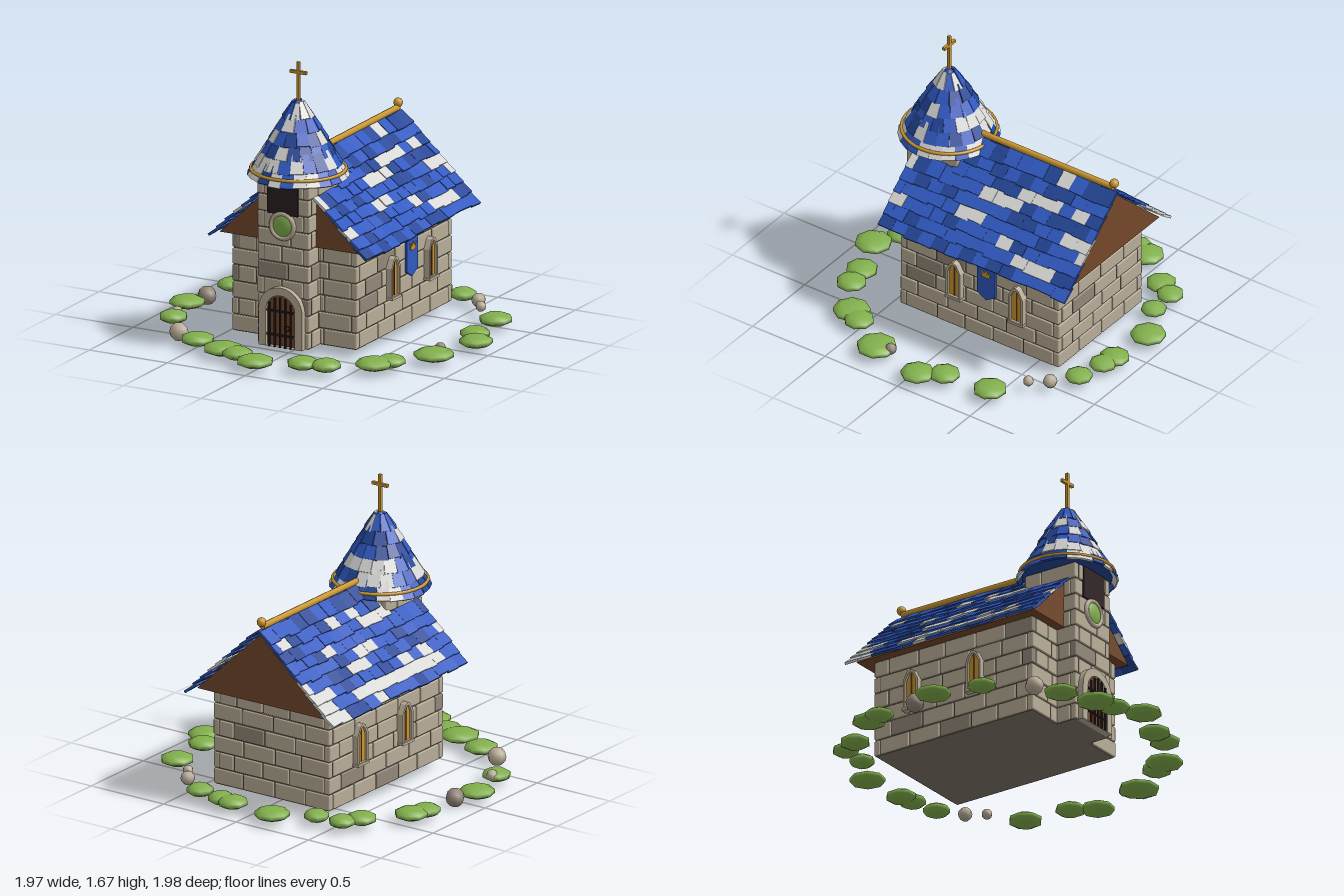
import * as THREE from 'three';
import { mergeGeometries } from 'three/addons/utils/BufferGeometryUtils.js';
import { RoundedBoxGeometry } from 'three/addons/geometries/RoundedBoxGeometry.js';

const mat = (name, color) => Object.assign(new THREE.MeshStandardMaterial({ color }), { name });
const M = {
  stone: mat('stone', 0xb9ad98), darkStone: mat('dark stone', 0x93887a), mortar: mat('mortar', 0x7f7567),
  blue: mat('blue tile', 0x2f58c0), navy: mat('navy tile', 0x234596), white: mat('white tile', 0xd6d6d4),
  gold: mat('gold', 0xc9962f), wood: mat('wood', 0x74482a), dark: mat('dark', 0x2c2022), leaf: mat('leaf', 0x82b04c),
};

let seed = 7;
const rnd = () => (seed = (seed * 16807) % 2147483647) / 2147483647;
const jitter = (a) => (rnd() - 0.5) * 2 * a;

function mesh(parent, name, geo, material, x = 0, y = 0, z = 0) {
  const m = new THREE.Mesh(geo, material);
  m.name = name;
  m.position.set(x, y, z);
  parent.add(m);
  return m;
}
const box = (w, h, d) => new THREE.BoxGeometry(w, h, d);

// Collects many small pieces and merges them into one mesh per material
function batch(parent, name) {
  const sets = new Map();
  return {
    add(geo, material, matrix) {
      const g = geo.index ? geo.toNonIndexed() : geo;
      g.applyMatrix4(matrix);
      if (!sets.has(material)) sets.set(material, []);
      sets.get(material).push(g);
    },
    finish() {
      for (const [m, list] of sets) mesh(parent, `${name} ${m.name}`, mergeGeometries(list), m);
    },
  };
}

// Rectangular masonry: mortar core with staggered stone courses on four faces
function masonry(parent, name, w, d, y0, rows, rowH, zc, stoneLen) {
  const depth = 0.04, gap = 0.006;
  mesh(parent, name + 'Core', box(w - 0.02, rows * rowH, d - 0.02), M.mortar, 0, y0 + rows * rowH / 2, zc);
  const stones = batch(parent, name);
  for (let r = 0; r < rows; r++) for (let f = 0; f < 4; f++) {
    const inset = (r + f) % 2 ? depth : 0;
    const len = (f % 2 ? d : w) - 2 * inset, half = (f % 2 ? w : d) / 2;
    const cuts = [-len / 2];
    let p = -len / 2 + stoneLen * (r % 2 ? 0.55 : 1) * (1 + jitter(0.1));
    while (p < len / 2 - stoneLen * 0.35) {
      cuts.push(p);
      p += stoneLen * (1 + jitter(0.1));
    }
    cuts.push(len / 2);
    const turn = new THREE.Matrix4().makeRotationY(f * Math.PI / 2).setPosition(0, 0, zc);
    for (let i = 0; i + 1 < cuts.length; i++) {
      const geo = new RoundedBoxGeometry(cuts[i + 1] - cuts[i] - gap, rowH - gap, depth, 1, 0.007);
      const at = new THREE.Matrix4().makeTranslation(
        (cuts[i] + cuts[i + 1]) / 2, y0 + (r + 0.5) * rowH, half - depth / 2 + jitter(0.002));
      stones.add(geo, rnd() < 0.07 ? M.darkStone : M.stone, turn.clone().multiply(at));
    }
  }
  stones.finish();
}

// White tiles tend to sit in patches beside each other
let lastWhite = false;
function tileColor(whiteStart) {
  lastWhite = rnd() < (lastWhite ? 0.5 : whiteStart);
  return lastWhite ? M.white : rnd() < 0.3 ? M.navy : M.blue;
}

function archShape(half, bottom, spring) {
  const s = new THREE.Shape();
  s.moveTo(-half, bottom);
  s.lineTo(half, bottom);
  s.lineTo(half, spring);
  s.absarc(0, spring, half, 0, Math.PI, false);
  s.closePath();
  return s;
}
const polygon = (pts) => new THREE.Shape(pts.map(([x, y]) => new THREE.Vector2(x, y)));
const extrude = (shape, depth) => new THREE.ExtrudeGeometry(shape, { depth, bevelEnabled: false, curveSegments: 12 });
const lancet = (h, b, s, t) => polygon([[-h, b], [h, b], [h, s], [h * 0.45, t - 0.012], [0, t], [-h * 0.45, t - 0.012], [-h, s]]);

function buildRoof(parent) {
  // Timber gable prism
  mesh(parent, 'gable', extrude(polygon([[-0.455, 0.632], [0.455, 0.632], [0, 1.06]]), 1.22), M.wood, 0, 0, -0.755);
  // Overlapping tiles on both slopes, left open around the tower
  const tiles = batch(parent, 'roofTiles');
  const rows = 9, cols = 14, z0 = -0.795, len = 1.29, pitch = 0.0735;
  for (const s of [-1, 1]) {
    const u = new THREE.Vector3(-s * 0.73, 0.685, 0), n = new THREE.Vector3(s * 0.685, 0.73, 0);
    const a = new THREE.Vector3(0, 0, -s);
    for (let r = 0; r < rows; r++) {
      const shift = r % 2 ? 0.5 : 0, w = len / cols;
      for (let c = 0; c < cols + shift * 2; c++) {
        const lo = Math.max(z0, z0 + (c - shift) * w), hi = Math.min(z0 + len, z0 + (c + 1 - shift) * w);
        const t = 0.047 + r * pitch + jitter(0.007), z = (lo + hi) / 2;
        if (t * 0.73 < 0.17 && z > 0.2) continue;
        const pos = new THREE.Vector3(0, 1.07, z).addScaledVector(u, -t).addScaledVector(n, 0.012 + jitter(0.002));
        const m = new THREE.Matrix4().makeBasis(a, u, n).setPosition(pos);
        m.multiply(new THREE.Matrix4().makeRotationFromEuler(new THREE.Euler(-0.1, jitter(0.04), jitter(0.05))));
        tiles.add(box(hi - lo + 0.003, 0.102, 0.015), tileColor(0.13), m);
      }
    }
  }
  tiles.finish();
  // Gilded ridge
  mesh(parent, 'ridgeBar', new THREE.CylinderGeometry(0.018, 0.018, 0.93, 10), M.gold, 0, 1.1, -0.3).rotation.x = Math.PI / 2;
  mesh(parent, 'ridgeBall', new THREE.SphereGeometry(0.027, 14, 10), M.gold, 0, 1.128, -0.77);
}

function buildSpire(parent) {
  const g = new THREE.Group();
  g.name = 'spire';
  g.position.z = 0.37;
  parent.add(g);
  mesh(g, 'spireCore', new THREE.CylinderGeometry(0.03, 0.255, 0.4, 24), M.navy, 0, 1.225, 0);
  mesh(g, 'spireTip', new THREE.ConeGeometry(0.048, 0.06, 12), M.blue, 0, 1.43, 0);
  // Rings of tapered tiles
  const tiles = batch(g, 'spireTiles');
  const rows = 6, tilt = Math.atan2(0.235, 0.41);
  for (let r = 0; r < rows; r++) {
    const k = r / rows, yLow = 1.01 + k * 0.41, rLow = 0.28 - k * 0.235, L = 0.115 - k * 0.015;
    const count = Math.max(10, Math.round(2 * Math.PI * rLow / 0.075));
    const rTop = Math.max(0.025, rLow - L * Math.sin(tilt));
    for (let i = 0; i < count; i++) {
      const w = 2 * Math.PI * rLow / count * 1.02;
      const geo = box(w, L, 0.012), p = geo.attributes.position;
      for (let v = 0; v < p.count; v++) if (p.getY(v) > 0) p.setX(v, p.getX(v) * rTop / rLow);
      geo.computeVertexNormals();
      const m = new THREE.Matrix4().makeRotationY((i + (r % 2) / 2) / count * Math.PI * 2)
        .multiply(new THREE.Matrix4().makeTranslation(0, yLow + L * Math.cos(tilt) / 2 + jitter(0.006), (rLow + rTop) / 2))
        .multiply(new THREE.Matrix4().makeRotationFromEuler(new THREE.Euler(-tilt - 0.05, 0, jitter(0.05))));
      tiles.add(geo, tileColor(0.22), m);
    }
  }
  tiles.finish();
  // Gilded band and cross
  mesh(g, 'spireBand', new THREE.TorusGeometry(0.268, 0.01, 8, 40), M.gold, 0, 1.05, 0).rotation.x = Math.PI / 2;
  mesh(g, 'crossPost', box(0.018, 0.23, 0.018), M.gold, 0, 1.555, 0);
  mesh(g, 'crossBar', box(0.106, 0.018, 0.018), M.gold, 0, 1.61, 0);
}

function buildTowerFront(parent) {
  // Arched doorway with an iron grille
  const frame = archShape(0.14, 0.05, 0.26);
  frame.holes.push(archShape(0.093, 0.051, 0.26));
  mesh(parent, 'doorFrame', extrude(frame, 0.05), M.stone, 0, 0, 0.53);
  mesh(parent, 'door', extrude(archShape(0.095, 0.055, 0.26), 0.03), M.wood, 0, 0, 0.53);
  for (let i = -2; i <= 2; i++) {
    const top = 0.255 + Math.sqrt(0.088 ** 2 - (i * 0.034) ** 2);
    mesh(parent, 'grilleBar', box(0.009, top - 0.05, 0.01), M.dark, i * 0.034, (top + 0.05) / 2, 0.583);
  }
  for (const y of [0.12, 0.26]) mesh(parent, 'grilleStrap', box(0.18, 0.011, 0.008), M.dark, 0, y, 0.575);
  mesh(parent, 'doorRing', new THREE.TorusGeometry(0.014, 0.004, 6, 14), M.dark, 0.05, 0.17, 0.588);
  // Round window and belfry opening
  mesh(parent, 'roundWindowRing', new THREE.TorusGeometry(0.072, 0.014, 8, 28), M.stone, 0, 0.755, 0.553);
  mesh(parent, 'roundWindow', new THREE.SphereGeometry(0.066, 20, 12), M.leaf, 0, 0.755, 0.55).scale.z = 0.3;
  mesh(parent, 'belfryOpening', box(0.197, 0.19, 0.02), M.dark, 0, 0.917, 0.547);
}

// Lancet window facing +z, to be turned onto a side wall
function makeWindow() {
  const g = new THREE.Group();
  g.name = 'sideWindow';
  const frame = lancet(0.05, 0.26, 0.44, 0.505);
  frame.holes.push(lancet(0.036, 0.275, 0.435, 0.488));
  mesh(g, 'windowFrame', extrude(frame, 0.045), M.stone, 0, 0, -0.01);
  mesh(g, 'windowPane', extrude(lancet(0.037, 0.272, 0.435, 0.489), 0.03), M.gold, 0, 0, -0.01);
  mesh(g, 'mullion', box(0.006, 0.205, 0.006), M.wood, 0, 0.378, 0.021);
  mesh(g, 'sill', box(0.108, 0.016, 0.05), M.stone, 0, 0.265, 0.015);
  return g;
}

export function createModel() {
  const model = new THREE.Group();
  model.name = 'chapel';
  const building = new THREE.Group();
  building.name = 'building';
  building.position.x = -0.01;
  model.add(building);

  masonry(building, 'hallWall', 0.805, 1.095, 0.05, 6, 0.097, -0.128, 0.2);
  masonry(building, 'towerWall', 0.335, 0.355, 0.05, 10, 0.097, 0.37, 0.2);
  buildRoof(building);
  buildSpire(building);
  buildTowerFront(building);

  // Two windows on each long wall
  for (const s of [-1, 1]) for (const z of [0.03, -0.4]) {
    const w = makeWindow();
    w.position.set(s * 0.402, 0, z);
    w.rotation.y = s * Math.PI / 2;
    building.add(w);
  }

  // Banner with a gold crown on one wall
  const banner = new THREE.Group();
  banner.name = 'banner';
  banner.position.set(0.405, 0, -0.187);
  banner.rotation.y = Math.PI / 2;
  building.add(banner);
  mesh(banner, 'bannerCloth', extrude(polygon([[-0.062, 0.64], [-0.062, 0.365], [0, 0.33], [0.062, 0.365], [0.062, 0.64]]), 0.015), M.blue);
  mesh(banner, 'bannerCrown', extrude(polygon([[-0.025, 0.485], [0.025, 0.485], [0.033, 0.525], [0.014, 0.508],
    [0, 0.533], [-0.014, 0.508], [-0.033, 0.525]]), 0.006), M.gold, 0, 0, 0.015);

  // Ring of low bushes: x, z, radius
  const bushes = [
    [-0.17, -0.89, 0.105], [0.12, -0.865, 0.09], [0.21, -0.85, 0.08], [0.385, -0.81, 0.08], [-0.39, -0.77, 0.075],
    [-0.56, -0.76, 0.08], [-0.62, -0.655, 0.09], [-0.8, -0.43, 0.1], [-0.835, -0.335, 0.085], [-0.89, 0.075, 0.105],
    [-0.82, 0.36, 0.085], [-0.49, 0.67, 0.1], [-0.28, 0.76, 0.115], [-0.16, 0.8, 0.09], [0, 0.885, 0.11],
    [0.25, 0.785, 0.095], [0.385, 0.76, 0.09], [0.605, 0.6, 0.11], [0.66, 0.51, 0.09], [0.81, 0.28, 0.12],
    [0.89, -0.06, 0.1], [0.81, -0.19, 0.09], [0.78, -0.48, 0.1]];
  for (const [x, z, r] of bushes) {
    const b = mesh(model, 'bush', new THREE.SphereGeometry(1, 8, 5), M.leaf, x, 0.055, z);
    b.scale.set(r, 0.036, r);
    b.rotation.y = rnd() * 6;
  }
  // Scattered rocks: x, z, radius, material
  const rocks = [[-0.85, -0.08, 0.055, M.darkStone], [-0.825, 0.31, 0.034, M.stone], [-0.65, 0.6, 0.054, M.stone],
    [0.8, 0.19, 0.034, M.darkStone], [0.535, -0.72, 0.041, M.stone], [0.605, -0.62, 0.031, M.stone]];
  for (const [x, z, r, m] of rocks) {
    const rock = mesh(model, 'rock', new THREE.SphereGeometry(r, 8, 6), m, x, r > 0.05 ? r : 0.065, z);
    rock.rotation.y = rnd() * 6;
  }
  return model;
}
